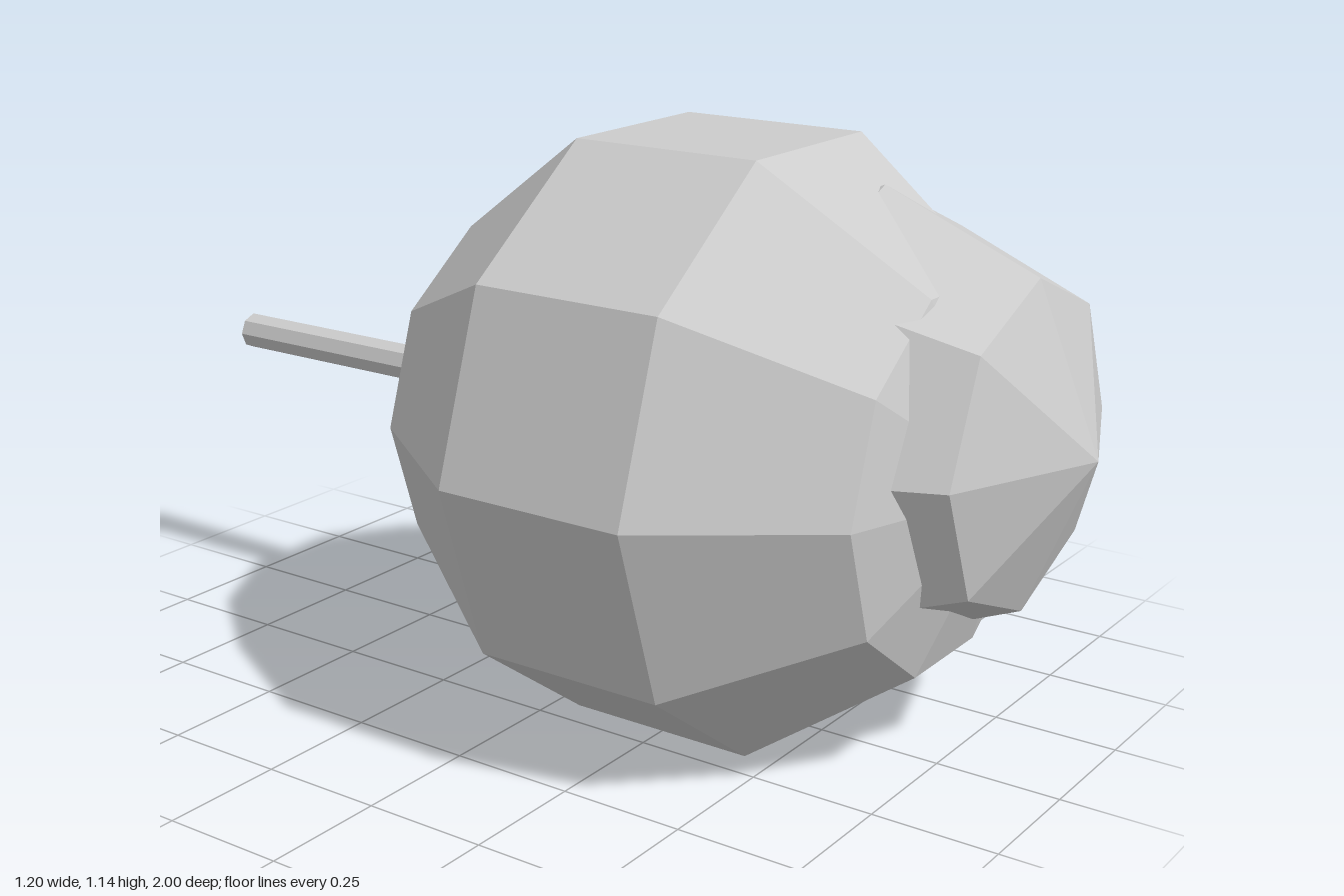
import * as THREE from 'three';

export function createModel() {
  const model = new THREE.Group();
  const grey = new THREE.MeshStandardMaterial({ color: 0xcccccc, flatShading: true });
  grey.name = 'light grey';

  // every part is built on y, then laid along z
  const add = (name, geometry, x, y, z) => {
    geometry.rotateX(Math.PI / 2);
    const mesh = new THREE.Mesh(geometry, grey);
    mesh.name = name;
    mesh.position.set(x, y, z);
    model.add(mesh);
  };

  // large faceted ball, ten sides and five bands
  add('body', new THREE.SphereGeometry(0.631, 10, 5), 0, 0.57, 0.245);

  // smaller faceted ball sunk into the front, slightly off centre
  add('frontBulge', new THREE.SphereGeometry(0.444, 8, 4), 0.072, 0.627, 0.556);

  // thin rod out of the back
  add('rearRod', new THREE.CylinderGeometry(0.039, 0.039, 0.7, 8), 0, 0.571, -0.65);

  return model;
}
